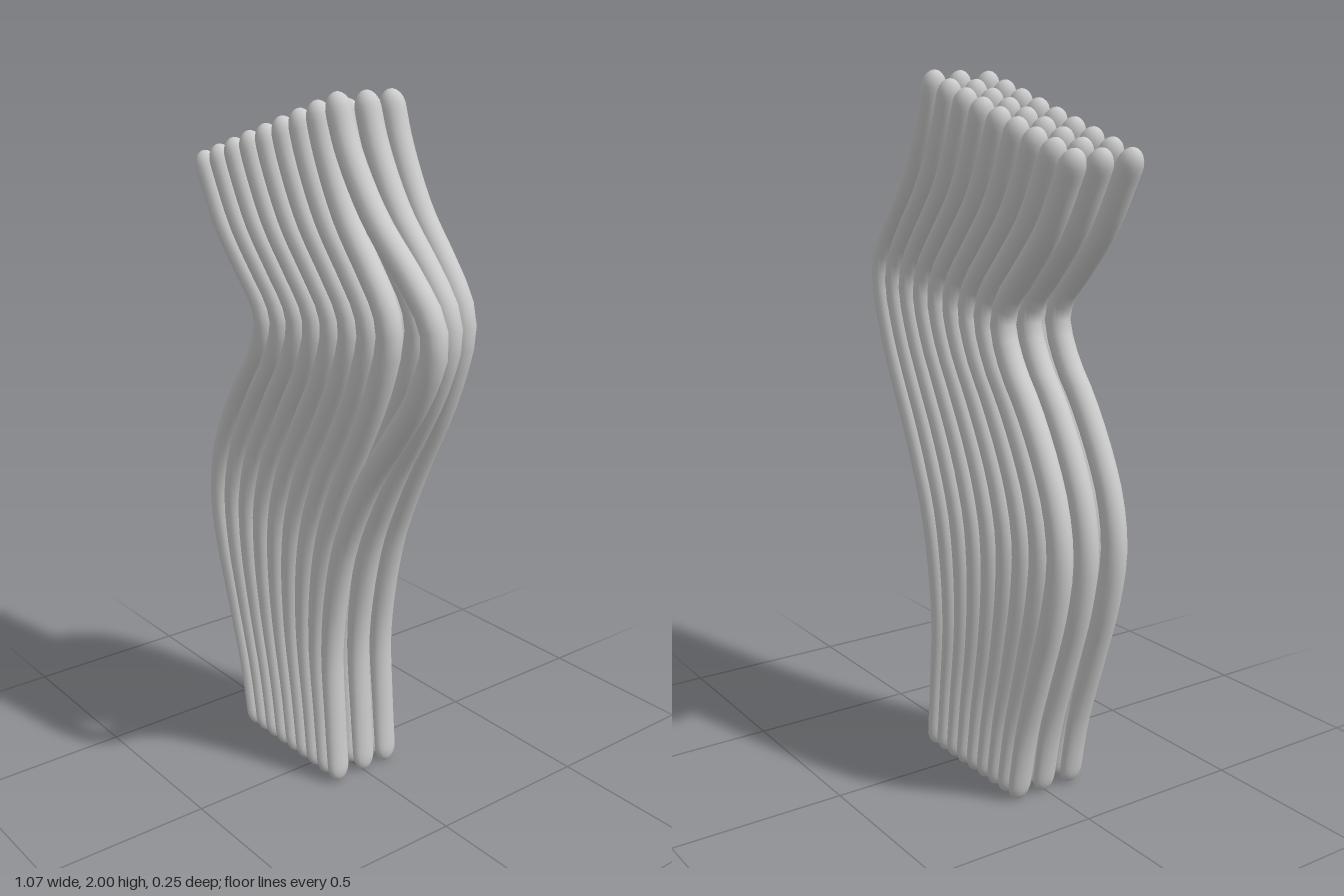
import * as THREE from 'three';
import { mergeVertices } from 'three/addons/utils/BufferGeometryUtils.js';

// Matching centreline points of the outermost strands: [x, y] of the first, [x, y] of the last
const PATHS = [
  [-0.295, 0, 0.125, 0],
  [-0.333, 0.2, 0.107, 0.2],
  [-0.398, 0.42, 0.093, 0.42],
  [-0.452, 0.6, 0.112, 0.6],
  [-0.475, 0.75, 0.15, 0.76],
  [-0.455, 0.88, 0.205, 0.89],
  [-0.408, 0.995, 0.27, 1.01],
  [-0.332, 1.128, 0.365, 1.145],
  [-0.255, 1.235, 0.45, 1.27],
  [-0.215, 1.34, 0.505, 1.41],
  [-0.235, 1.4, 0.485, 1.48],
  [-0.31, 1.483, 0.41, 1.565],
  [-0.412, 1.6, 0.27, 1.7],
  [-0.49, 1.735, 0.16, 1.862],
  [-0.523, 1.798, 0.107, 2.0],
];
const STRANDS = 9;
const RADIUS = 0.0355;
const TIP = 0.05;

// Curve of one strand, blended between the outer two, with its bulge pulled in
function strandCurve(t, pullIn) {
  const points = PATHS.map(([x0, y0, x1, y1]) => {
    const y = THREE.MathUtils.lerp(y0, y1, t);
    const bump = Math.exp(-(((y1 - 1.41) / 0.3) ** 2));
    return new THREE.Vector3(THREE.MathUtils.lerp(x0, x1, t) - pullIn * bump, y, 0);
  });
  return new THREE.CatmullRomCurve3(points, false, 'centripetal');
}

// A sphere stretched along the curve: round tips, narrower towards the foot
function strandGeometry(curve) {
  const geometry = new THREE.SphereGeometry(1, 16, 56);
  geometry.deleteAttribute('uv');
  geometry.deleteAttribute('normal');
  const pos = geometry.attributes.position;
  const length = curve.getLength();
  for (let i = 0; i < pos.count; i++) {
    const u = THREE.MathUtils.clamp((1 + pos.getY(i)) / 2, 0, 1);
    const ring = Math.hypot(pos.getX(i), pos.getZ(i)) || 1;
    const d = Math.min(1, (Math.min(u, 1 - u) * length) / TIP);
    const r = RADIUS * Math.sqrt(1 - (1 - d) ** 2);
    const flat = THREE.MathUtils.lerp(0.6, 1, THREE.MathUtils.smoothstep(u, 0, 0.33));
    const p = curve.getPointAt(u);
    const tan = curve.getTangentAt(u);
    const side = (pos.getX(i) / ring) * r * flat;
    pos.setXYZ(i, p.x + tan.y * side, p.y - tan.x * side, (pos.getZ(i) / ring) * r);
  }
  const merged = mergeVertices(geometry, 1e-5);
  merged.computeVertexNormals();
  return merged;
}

export function createModel() {
  const group = new THREE.Group();
  group.name = 'wavyStrands';
  const material = new THREE.MeshStandardMaterial({ color: 0xcccccc });

  // Three layers; only their last strands bulge differently
  const layers = [
    { name: 'frontLayer', z: 0.091, lastPull: 0 },
    { name: 'middleLayer', z: -0.006, lastPull: 0.055 },
    { name: 'backLayer', z: -0.091, lastPull: 0.095 },
  ];
  for (const { name, z, lastPull } of layers) {
    const layer = new THREE.Group();
    layer.name = name;
    layer.position.z = z;
    for (let i = 0; i < STRANDS; i++) {
      const t = i / (STRANDS - 1);
      const pull = i === STRANDS - 1 ? lastPull : 0.095 * t;
      const strand = new THREE.Mesh(strandGeometry(strandCurve(t, pull)), material);
      strand.name = `strand${i + 1}`;
      layer.add(strand);
    }
    group.add(layer);
  }
  return group;
}
